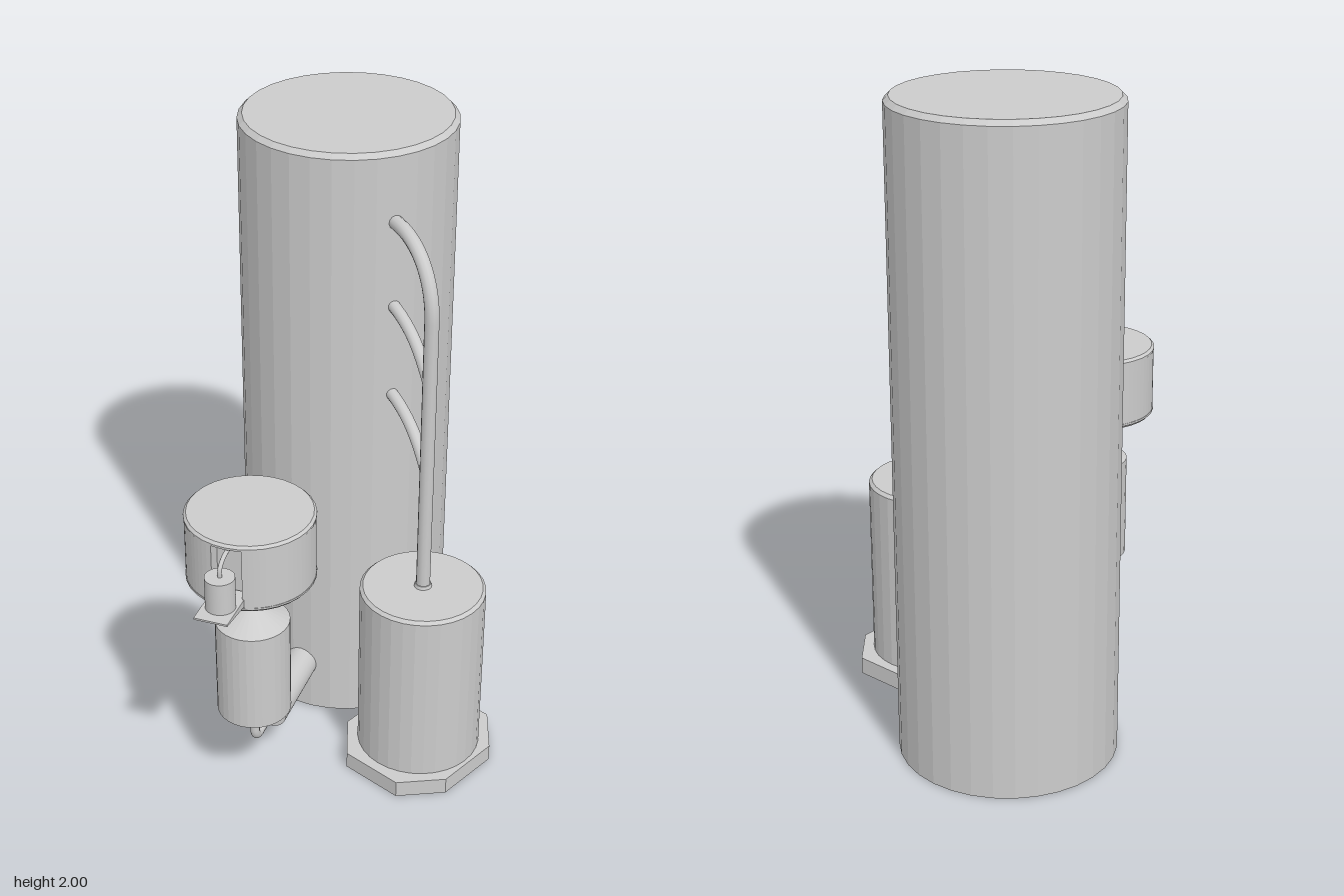
import * as THREE from 'three';

const flat = new THREE.MeshStandardMaterial({ color: 0xcccccc, flatShading: true });
const smooth = new THREE.MeshStandardMaterial({ color: 0xcccccc });
const V = (x, y, z) => new THREE.Vector3(x, y, z);

export function createModel() {
  const model = new THREE.Group();

  const add = (name, geometry, material, x = 0, y = 0, z = 0, parent = model) => {
    const mesh = new THREE.Mesh(geometry, material);
    mesh.name = name;
    mesh.position.set(x, y, z);
    parent.add(mesh);
    return mesh;
  };
  // Solid of revolution from [radius, height] pairs, listed bottom to top
  const lathe = (points, sides = 32) =>
    new THREE.LatheGeometry(points.map(([r, y]) => new THREE.Vector2(r, y)), sides);
  // Closed upright tank with a small bevel around the top
  const tank = (r, y0, y1, bevel) =>
    lathe([[0, y0], [r, y0], [r, y1 - bevel], [r - bevel, y1], [0, y1]]);
  // Shape drawn in plan, raised along y
  const slab = (shape, height) =>
    new THREE.ExtrudeGeometry(shape, { depth: height, bevelEnabled: false }).rotateX(-Math.PI / 2);

  // Tall storage tower
  const tower = V(0.335, 0, -0.205);
  add('tower', tank(0.333, 0, 2, 0.015), flat, tower.x, 0, tower.z);

  // Front tank on its eight-cornered foundation
  const front = V(0.107, 0, 0.325);
  const corners = [[0.23, -0.105], [0.23, 0.105], [0.11, 0.21], [-0.11, 0.21],
    [-0.23, 0.105], [-0.23, -0.105], [-0.11, -0.21], [0.11, -0.21]];
  const plan = new THREE.Shape(corners.map(([x, y]) => new THREE.Vector2(x, y)));
  add('foundation', slab(plan, 0.055), flat, front.x, 0, front.z);
  add('frontTank', tank(0.197, 0.03, 0.65, 0.01), flat, front.x, 0, front.z);

  // Riser pipe and its branches, all running into the tower
  const dir = tower.clone().sub(front).normalize();
  const at = (d, y) => front.clone().addScaledVector(dir, d).setY(y);
  const riser = new THREE.CurvePath();
  riser.add(new THREE.LineCurve3(at(0, 0.64), at(0, 1.57)));
  riser.add(new THREE.CubicBezierCurve3(at(0, 1.57), at(0, 1.7), at(0.09, 1.78), at(0.22, 1.78)));
  riser.add(new THREE.LineCurve3(at(0.22, 1.78), at(0.28, 1.78)));
  add('riserPipe', new THREE.TubeGeometry(riser, 80, 0.022, 12), smooth);
  add('riserCollar', new THREE.CylinderGeometry(0.025, 0.028, 0.012, 16), smooth, front.x, 0.655, front.z);
  for (const y of [1.06, 1.36]) {
    const branch = new THREE.CubicBezierCurve3(
      at(0, y), at(0.07, y + 0.09), at(0.14, y + 0.14), at(0.28, y + 0.15));
    add('branchPipe', new THREE.TubeGeometry(branch, 16, 0.019, 12), smooth);
  }

  // Side assembly: local +x points away from the tower
  const side = new THREE.Group();
  side.name = 'sideAssembly';
  side.position.set(-0.37, 0, 0.052);
  side.rotation.y = Math.PI + 0.4;
  model.add(side);

  // Drum with a narrow slot in its outer wall
  const r = 0.195, slot = 0.047, depth = 0.05, a = Math.asin(slot / r);
  const wall = new THREE.Shape();
  wall.absarc(0, 0, r, a, Math.PI * 2 - a, false);
  wall.lineTo(r - depth, -slot);
  wall.lineTo(r - depth, slot);
  wall.closePath();
  add('drumWall', new THREE.ExtrudeGeometry(wall, { depth: 0.2, bevelEnabled: false, curveSegments: 32 })
    .rotateX(-Math.PI / 2), flat, 0, 0.825, 0, side);
  add('drumLid', tank(0.197, 1.025, 1.04, 0.008), flat, 0, 0, 0, side);
  add('drumFloor', lathe([[0, 0.812], [0.19, 0.812], [0.197, 0.82], [0.197, 0.826], [0, 0.826]]),
    flat, 0, 0, 0, side);

  // Wedge shelf carrying a small canister with a thin feed line
  const wedge = new THREE.Shape([[0.15, 0.826], [0.318, 0.85], [0.318, 0.856], [0.15, 0.856]]
    .map(([x, y]) => new THREE.Vector2(x, y)));
  add('shelf', new THREE.ExtrudeGeometry(wedge, { depth: 0.104, bevelEnabled: false }),
    flat, 0, 0, -0.052, side);
  add('canister', new THREE.CylinderGeometry(0.045, 0.045, 0.104, 24), smooth, 0.24, 0.908, 0, side);
  const feed = new THREE.CatmullRomCurve3(
    [V(0.24, 0.955, 0), V(0.237, 0.985, 0), V(0.21, 1.005, 0), V(0.14, 1.015, 0)]);
  add('feedLine', new THREE.TubeGeometry(feed, 16, 0.007, 8), smooth, 0, 0, 0, side);

  // Hanging vessel with conical ends and a neck up to the drum
  add('vessel', lathe([[0, 0.265], [0.022, 0.265], [0.115, 0.312], [0.115, 0.645], [0.025, 0.695], [0, 0.695]]),
    flat, 0, 0, 0, side);
  add('neck', new THREE.CylinderGeometry(0.025, 0.025, 0.14, 16), smooth, 0, 0.75, 0, side);

  // Drain elbow into the thick horizontal pipe that meets the tower
  const drain = new THREE.CurvePath();
  drain.add(new THREE.LineCurve3(V(0, 0.28, 0), V(0, 0.215, 0)));
  drain.add(new THREE.QuadraticBezierCurve3(V(0, 0.215, 0), V(0, 0.177, 0), V(-0.04, 0.177, 0)));
  drain.add(new THREE.LineCurve3(V(-0.04, 0.177, 0), V(-0.15, 0.177, 0)));
  add('drainPipe', new THREE.TubeGeometry(drain, 40, 0.015, 12), smooth, 0, 0, 0, side);
  add('outletPipe', new THREE.CylinderGeometry(0.053, 0.053, 0.32, 24).rotateZ(Math.PI / 2),
    smooth, -0.295, 0.175, 0, side);

  return model;
}
